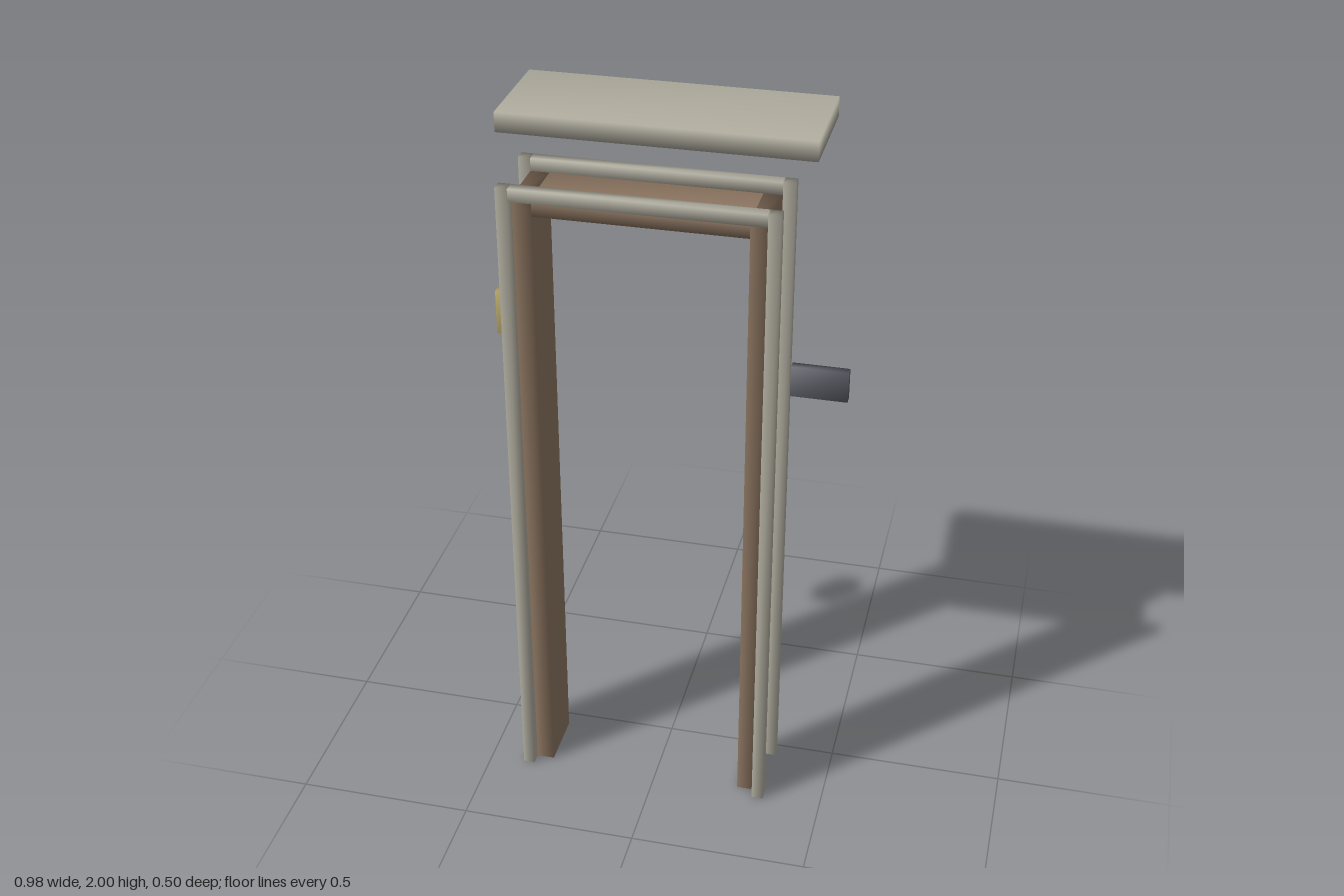
import * as THREE from 'three';
import { mergeVertices } from 'three/addons/utils/BufferGeometryUtils.js';

const paint = (color) => new THREE.MeshStandardMaterial({ color });

// Box given by its limits on each axis, with normals shared across the corners
function block(parent, name, material, [x0, x1], [y0, y1], [z0, z1]) {
  let geometry = new THREE.BoxGeometry(x1 - x0, y1 - y0, z1 - z0);
  geometry.deleteAttribute('normal');
  geometry.deleteAttribute('uv');
  geometry = mergeVertices(geometry);
  geometry.computeVertexNormals();
  const mesh = new THREE.Mesh(geometry, material);
  mesh.name = name;
  mesh.position.set((x0 + x1) / 2, (y0 + y1) / 2, (z0 + z1) / 2);
  parent.add(mesh);
  return mesh;
}

export function createModel() {
  const model = new THREE.Group();
  model.name = 'doorFrame';
  const wood = paint(0x8c7560);
  const stone = paint(0xb0ad9f);
  const iron = paint(0x5c5d66);
  const brass = paint(0xb0a065);

  // Wooden lining: two jambs and a head between them
  const lining = new THREE.Group();
  lining.name = 'lining';
  const depth = [0.048, 0.215];
  block(lining, 'rightJamb', wood, [-0.367, -0.316], [0, 1.84], depth);
  block(lining, 'leftJamb', wood, [0.25, 0.3], [0, 1.84], depth);
  block(lining, 'head', wood, [-0.316, 0.25], [1.79, 1.84], depth);
  model.add(lining);

  // Slim trim around the front and back edges
  for (const [side, z] of [['front', [0.215, 0.248]], ['back', [0.015, 0.048]]]) {
    const trim = new THREE.Group();
    trim.name = side + 'Trim';
    block(trim, side + 'RightTrim', stone, [-0.4, -0.367], [0, 1.875], z);
    block(trim, side + 'LeftTrim', stone, [0.3, 0.333], [0, 1.875], z);
    block(trim, side + 'TopTrim', stone, [-0.367, 0.3], [1.84, 1.875], z);
    model.add(trim);
  }

  // Canopy slab floating above the frame
  block(model, 'canopy', stone, [-0.455, 0.39], [1.945, 2], [-0.25, 0.063]);

  // Lamp on one side, sign plate on the other
  block(model, 'lamp', brass, [-0.493, -0.42], [1.33, 1.46], [-0.056, 0.017]);
  block(model, 'signPlate', iron, [0.333, 0.49], [1.243, 1.333], [-0.003, 0.023]);

  return model;
}
